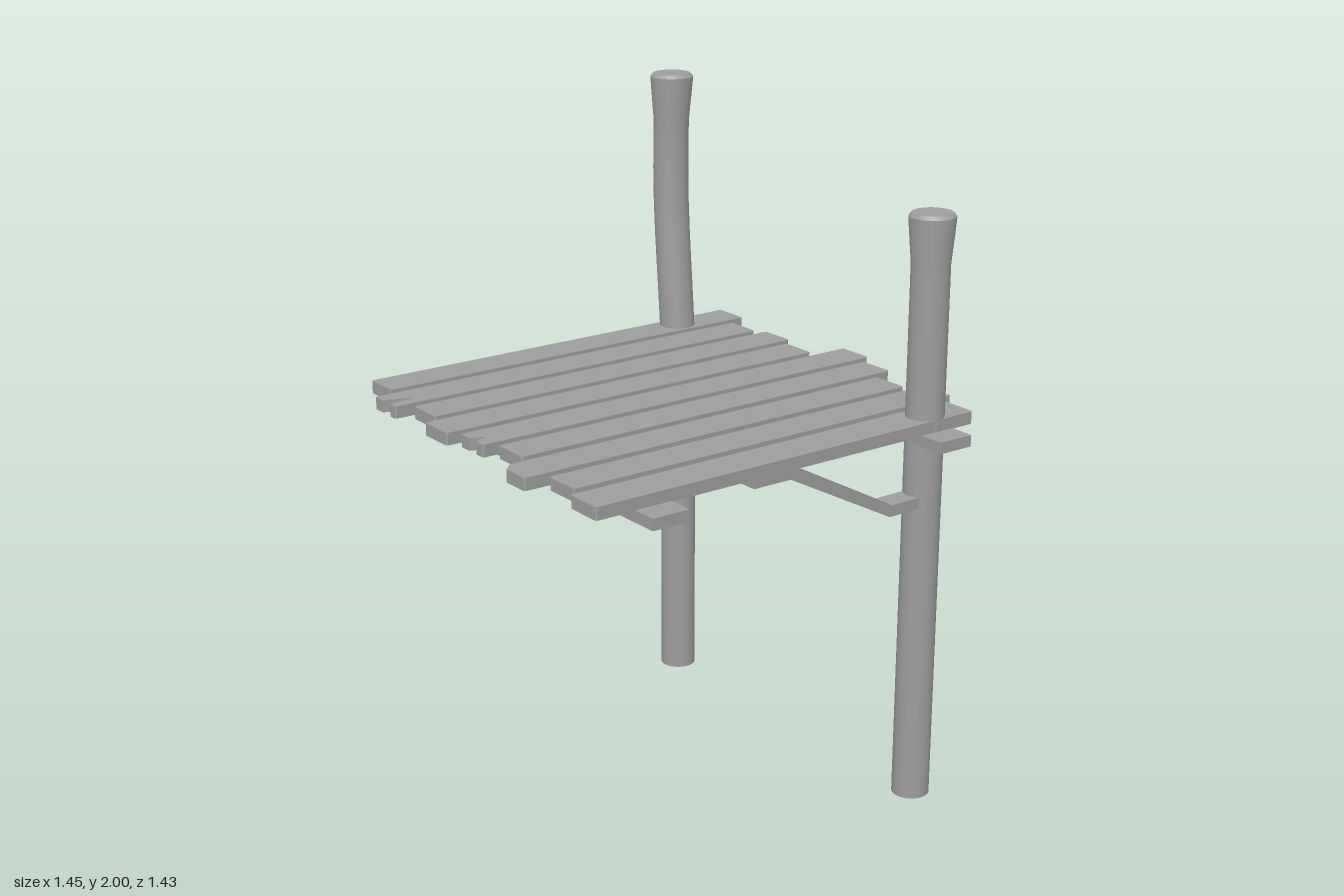
import * as THREE from 'three';
import { toCreasedNormals } from 'three/addons/utils/BufferGeometryUtils.js';

const material = new THREE.MeshStandardMaterial({ color: 0x9d9d9d });

function addPart(parent, name, geometry, x = 0, y = 0, z = 0) {
  const mesh = new THREE.Mesh(geometry, material);
  mesh.name = name;
  mesh.position.set(x, y, z);
  parent.add(mesh);
  return mesh;
}

// Plank outline in x/z, with softened corners and optional split or cut ends.
function plankGeometry(x0, x1, width, thickness, { notchLeft, notchRight, cut = 0.005 }) {
  const h = width / 2, c = 0.005;
  const pts = [[x0, -h + cut], [x0 + cut, -h], [x1 - c, -h], [x1, -h + c]];
  const notch = (x, [za, tipX, tipZ, zb]) => [[x, za], [tipX, tipZ], [x, zb]];
  if (notchRight) pts.push(...notch(x1, notchRight));
  pts.push([x1, h - c], [x1 - c, h], [x0 + c, h], [x0, h - c]);
  if (notchLeft) pts.push(...notch(x0, notchLeft).reverse());
  const shape = new THREE.Shape(pts.map(([x, z]) => new THREE.Vector2(x, z)));
  return new THREE.ExtrudeGeometry(shape, { depth: thickness, bevelEnabled: false })
    .rotateX(Math.PI / 2);
}

// Round post with a flared, bevelled head; bend(y) shifts it along z.
function postGeometry(height, bend) {
  const r = 0.056;
  const points = [[0, 0], [r, 0]];
  const shaftTop = height - 0.145;
  for (const y of [1.0, 1.1, 1.2, 1.3, 1.4, 1.5, 1.6, 1.7, 1.78]) {
    if (y < shaftTop - 0.03) points.push([r, y]);
  }
  points.push([r, shaftTop], [0.067, height - 0.02],
    [0.067, height - 0.01], [0.058, height], [0, height]);
  const geometry = new THREE.LatheGeometry(points.map(([x, y]) => new THREE.Vector2(x, y)), 24);
  const pos = geometry.attributes.position;
  for (let i = 0; i < pos.count; i++) pos.setZ(i, pos.getZ(i) + bend(pos.getY(i)));
  return toCreasedNormals(geometry, 0.5);
}

export function createModel() {
  const group = new THREE.Group();
  group.name = 'plankPlatform';

  // Deck planks, from back to front: left end, right end, special ends
  const deck = new THREE.Group();
  deck.name = 'deck';
  group.add(deck);
  const planks = [
    [-0.625, 0.692],
    [-0.695, 0.627, { notchLeft: [-0.016, -0.605, 0.014, 0.028] }],
    [-0.65, 0.65],
    [-0.7, 0.616],
    [-0.672, 0.725, { notchLeft: [-0.014, -0.63, 0.001, 0.024] }],
    [-0.64, 0.682],
    [-0.727, 0.609, { cut: 0.03 }],
    [-0.668, 0.663, { notchRight: [-0.011, 0.602, 0.003, 0.03] }],
    [-0.7, 0.611],
  ];
  planks.forEach(([x0, x1, ends = {}], i) => {
    addPart(deck, `plank${i + 1}`, plankGeometry(x0, x1, 0.116, 0.037, ends),
      0, 1.19, -0.583 + i * 0.1455);
  });

  // Support beams under the deck
  for (const [name, x] of [['rightBeam', -0.52], ['leftBeam', 0.475]]) {
    addPart(group, name, new THREE.BoxGeometry(0.116, 0.034, 1.435), x, 1.138, -0.002);
  }

  // Straight front post and taller, leaning back post
  const smooth = THREE.MathUtils.smoothstep;
  addPart(group, 'frontPost', postGeometry(1.78, () => 0), 0.475, 0, 0.585);
  addPart(group, 'backPost',
    postGeometry(2, (y) => -0.043 * smooth(y, 1.0, 1.7) + 0.005 * smooth(y, 1.7, 2)),
    0.475, 0, -0.583);

  // Bent braces from each post to the underside of the deck
  const braceShape = new THREE.Shape([
    [-0.172, 1.155], [-0.035, 1.155], [0.33, 0.96], [0.46, 0.96],
    [0.46, 0.926], [0.322, 0.926], [-0.045, 1.118], [-0.172, 1.118],
  ].reverse().map(([x, y]) => new THREE.Vector2(x, y)));
  const braceWidth = 0.07;
  const braceGeometry = new THREE.ExtrudeGeometry(braceShape, { depth: braceWidth, bevelEnabled: false })
    .translate(0, 0, -braceWidth / 2);
  addPart(group, 'frontBrace', braceGeometry, 0, 0, 0.585);
  addPart(group, 'backBrace', braceGeometry, 0, 0, -0.583);

  return group;
}
